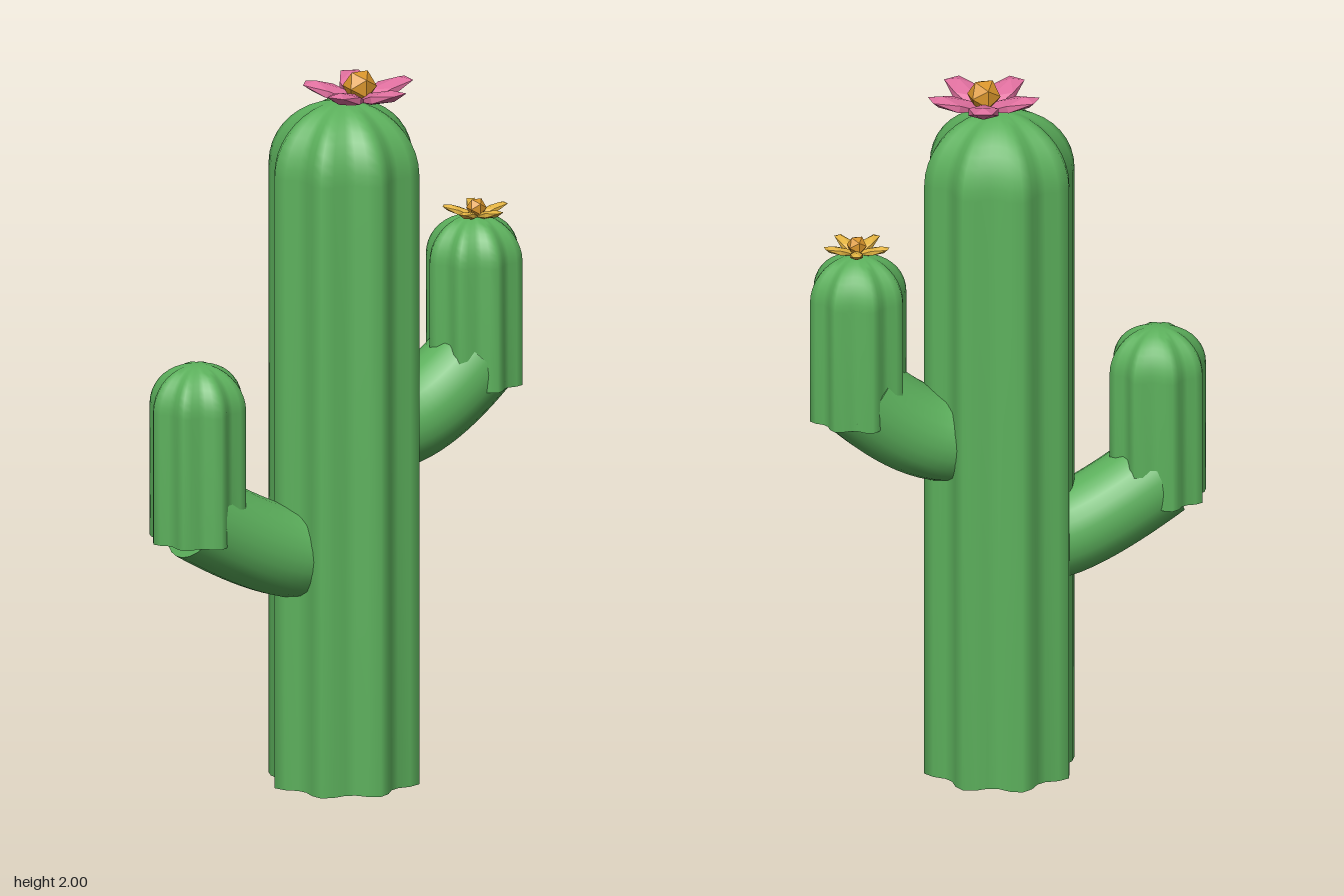
import * as THREE from 'three';
import { toCreasedNormals } from 'three/addons/utils/BufferGeometryUtils.js';

const material = (name, color, extra = {}) => {
  const m = new THREE.MeshStandardMaterial({ color, ...extra });
  m.name = name;
  return m;
};

// Upright stem with eight ribs, a flat base and a domed top
function ribbedColumn(radius, height) {
  const shoulder = height - radius;
  const profile = [new THREE.Vector2(0, 0), new THREE.Vector2(radius, 0)];
  for (let i = 0; i <= 10; i++) {
    const a = (i / 10) * Math.PI / 2;
    profile.push(new THREE.Vector2(i === 10 ? 0 : radius * Math.cos(a), shoulder + radius * Math.sin(a)));
  }
  const geometry = new THREE.LatheGeometry(profile, 40);
  const p = geometry.attributes.position;
  for (let i = 0; i < p.count; i++) {
    const x = p.getX(i), z = p.getZ(i);
    const rib = 1 + 0.1 * Math.cos(8 * Math.atan2(z, x));
    p.setX(i, x * rib);
    p.setZ(i, z * rib);
  }
  return toCreasedNormals(geometry, 1.2);
}

export function createModel() {
  const green = material('cactusGreen', 0x5cb05c);
  const pink = material('petalPink', 0xe0709f, { flatShading: true });
  const yellow = material('petalYellow', 0xe3b341, { flatShading: true });
  const orange = material('flowerCentreOrange', 0xd9952b, { flatShading: true });
  const model = new THREE.Group();
  model.name = 'cactus';

  const add = (parent, name, geometry, mat, x = 0, y = 0, z = 0) => {
    const mesh = new THREE.Mesh(geometry, mat);
    mesh.name = name;
    mesh.position.set(x, y, z);
    parent.add(mesh);
    return mesh;
  };

  // Trunk
  add(model, 'trunk', ribbedColumn(0.195, 1.92), green, 0.022);

  // Arms: a bent elbow leaving the trunk, then an upright ribbed stem
  function addArm(name, x, bottom, top, elbowPoints) {
    const arm = new THREE.Group();
    arm.name = name;
    add(arm, name + 'Stem', ribbedColumn(0.125, top - bottom), green, x, bottom);
    const curve = new THREE.QuadraticBezierCurve3(
      ...elbowPoints.map(([px, py]) => new THREE.Vector3(px, py, 0)));
    add(arm, name + 'Elbow', new THREE.TubeGeometry(curve, 12, 0.125, 24), green);
    const end = curve.getPoint(1);
    const cap = add(arm, name + 'ElbowEnd', new THREE.CircleGeometry(0.125, 24), green, end.x, end.y, end.z);
    cap.lookAt(end.clone().add(curve.getTangent(1)));
    model.add(arm);
  }
  addArm('leftArm', 0.425, 1.07, 1.545, [[0.14, 0.98], [0.26, 0.98], [0.42, 1.135]]);
  addArm('rightArm', -0.43, 0.74, 1.235, [[-0.1, 0.658], [-0.2, 0.658], [-0.43, 0.803]]);

  // Flowers: five tilted faceted petals around a faceted centre
  function addFlower(name, position, scale, petalWidth, petalMaterial) {
    const flower = new THREE.Group();
    flower.name = name;
    flower.position.set(...position);
    flower.scale.setScalar(scale);
    const petal = new THREE.IcosahedronGeometry(1, 0);
    petal.scale(0.086, 0.019, petalWidth);
    petal.rotateZ(0.28);
    petal.translate(0.082, 0, 0);
    for (let i = 0; i < 5; i++) {
      add(flower, 'petal', petal, petalMaterial).rotation.y = (i * Math.PI * 2) / 5;
    }
    add(flower, 'flowerCentre', new THREE.IcosahedronGeometry(0.047, 0), orange, 0, 0.018);
    model.add(flower);
  }
  addFlower('topFlower', [0.06, 1.942, 0.02], 1, 0.048, pink);
  addFlower('armFlower', [0.425, 1.554, 0.013], 0.6, 0.034, yellow);

  return model;
}
